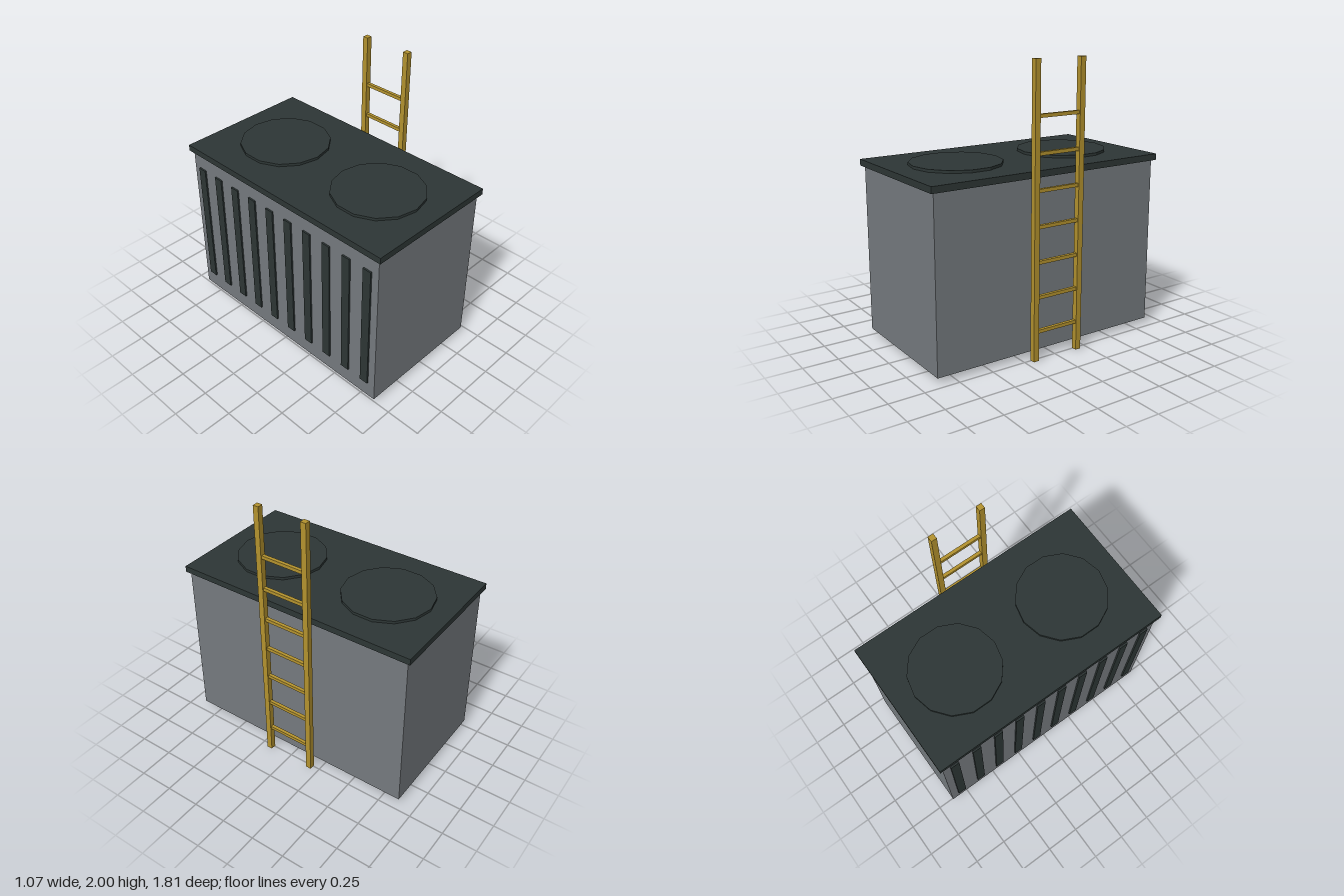
import * as THREE from 'three';

const paint = (name, color) => {
  const m = new THREE.MeshStandardMaterial({ color });
  m.name = name;
  return m;
};

export function createModel() {
  const model = new THREE.Group();
  model.name = 'rooftopUnit';
  const grey = paint('casing grey', 0x757a7e);
  const dark = paint('dark slate', 0x2d3635);
  const yellow = paint('safety yellow', 0xb3922e);

  const add = (parent, name, geometry, material, x, y, z) => {
    const mesh = new THREE.Mesh(geometry, material);
    mesh.name = name;
    mesh.position.set(x, y, z);
    parent.add(mesh);
  };
  const box = (w, h, d) => new THREE.BoxGeometry(w, h, d);

  // Casing and overhanging lid
  add(model, 'casing', box(0.96, 1.2, 1.76), grey, -0.033, 0.64, 0);
  add(model, 'lid', box(1.004, 0.045, 1.81), dark, -0.033, 1.2605, 0);

  // Two low 14-sided fan covers
  const cover = new THREE.CylinderGeometry(0.32, 0.32, 0.02, 14).toNonIndexed();
  cover.computeVertexNormals();
  for (const z of [-0.44, 0.44]) add(model, 'fanCover', cover, dark, -0.033, 1.292, z);

  // Row of upright vent slats
  const vents = new THREE.Group();
  vents.name = 'ventSlats';
  for (let i = 0; i < 10; i++) {
    add(vents, 'ventSlat', box(0.02, 0.96, 0.065), dark, -0.515, 0.64, (i - 4.5) * 0.176);
  }
  model.add(vents);

  // Ladder: two rails and seven rungs
  const ladder = new THREE.Group();
  ladder.name = 'ladder';
  for (const z of [-0.177, 0.177]) add(ladder, 'rail', box(0.04, 2, 0.04), yellow, 0.512, 1, z);
  for (let i = 0; i < 7; i++) {
    add(ladder, 'rung', box(0.024, 0.024, 0.32), yellow, 0.512, 0.204 + i * 0.24, 0);
  }
  model.add(ladder);

  return model;
}
